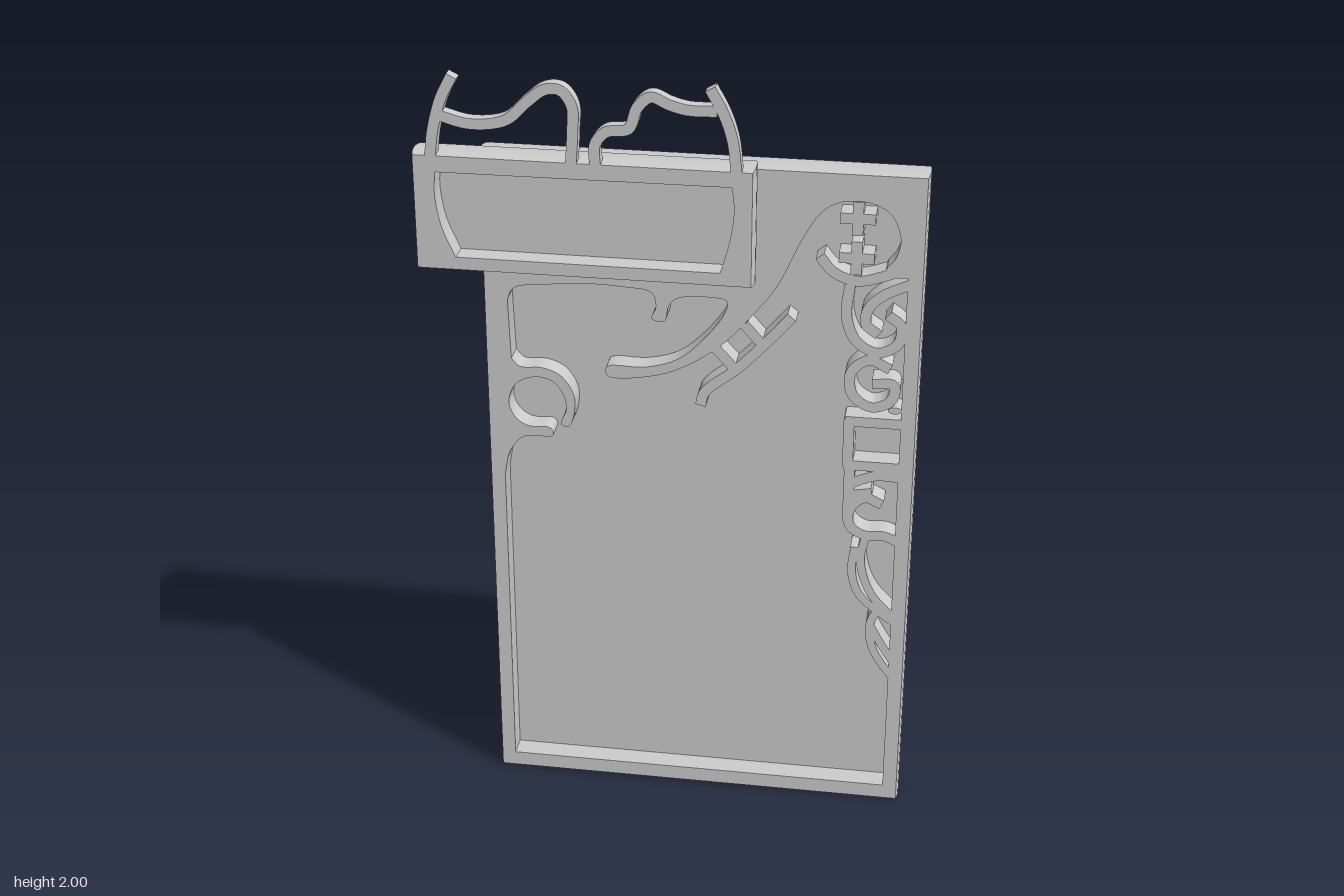
import * as THREE from 'three';
import { toCreasedNormals } from 'three/addons/utils/BufferGeometryUtils.js';

// Patterns are drawn on a sketch grid of 189 squares per unit, y downwards.
const G = 189;
const pt = ([x, y]) => new THREE.Vector2((x - 237.7) / G, (413 - y) / G);
const DEPTH = 0.085;

const material = new THREE.MeshStandardMaterial({ color: 0xcccccc });

function addMesh(group, name, geometry, z) {
  const mesh = new THREE.Mesh(toCreasedNormals(geometry, 0.55), material);
  mesh.name = name;
  mesh.position.z = z;
  group.add(mesh);
}

// Smooth run through sketch points
function smooth(points, n = points.length * 6) {
  const c = new THREE.CatmullRomCurve3(points.map(p => { const v = pt(p); return new THREE.Vector3(v.x, v.y, 0); }));
  return c.getPoints(n).map(v => new THREE.Vector2(v.x, v.y));
}

// Flat ribbon of constant width following a smooth path
function ribbon(points, width = 5) {
  const path = smooth(points);
  const h = width / G / 2, left = [], right = [];
  path.forEach((p, i) => {
    const a = path[Math.max(i - 1, 0)], b = path[Math.min(i + 1, path.length - 1)];
    const t = b.clone().sub(a).normalize();
    left.push(new THREE.Vector2(p.x - t.y * h, p.y + t.x * h));
    right.push(new THREE.Vector2(p.x + t.y * h, p.y - t.x * h));
  });
  return new THREE.Shape([...left, ...right.reverse()]);
}

const extrude = (shape, depth, steps = 1) =>
  new THREE.ExtrudeGeometry(shape, { depth, steps, bevelEnabled: false });

// Rectangular board with slightly bulging edges and a recess in its front
function board(group, name, [x0, x1, y0, y1], hole, recess, zBack) {
  const rect = () => new THREE.Shape([[x0, y0], [x1, y0], [x1, y1], [x0, y1]].map(p => new THREE.Vector2(...p)));
  const floor = DEPTH - recess;
  const bulge = (geo, offset) => {
    const p = geo.attributes.position;
    for (let i = 0; i < p.count; i++) {
      const inset = 0.005 * ((p.getZ(i) + offset) / DEPTH * 2 - 1) ** 2;
      const x = p.getX(i), y = p.getY(i), e = 1e-4;
      if (x < x0 + e) p.setX(i, x0 + inset);
      if (x > x1 - e) p.setX(i, x1 - inset);
      if (y < y0 + e) p.setY(i, y0 + inset);
      if (y > y1 - e) p.setY(i, y1 - inset);
    }
    geo.computeVertexNormals();
    return geo;
  };
  addMesh(group, name + 'Back', bulge(extrude(rect(), floor, 2), 0), zBack);
  const face = rect();
  face.holes.push(new THREE.Path(hole));
  addMesh(group, name + 'Frame', bulge(extrude(face, recess, 3), floor), zBack + floor);
}

export function createModel() {
  const model = new THREE.Group();
  model.name = 'ornamentalPanel';

  // Main panel: the recess has a swept, scrolled upper outline
  const panel = new THREE.Group();
  panel.name = 'panel';
  model.add(panel);
  const circleAndSweep = [
    [345, 127], [338, 127], [335, 124], [339, 118], [341, 109], [337, 98], [330, 93], [321, 91.5], [312, 93], [305, 98],
    [297, 111], [286, 135], [275, 150], [262, 165], [246, 177], [230, 184], [207, 186], [206.5, 181],
    [225, 180], [240, 175], [253, 163], [262, 150], [263, 144], [255, 142.5],
    [240, 144], [236, 148], [234, 156], [228, 155], [230, 149], [228, 142],
    [215, 140], [200, 139.5], [180, 141], [163, 144], [160, 150]];
  const leftScroll = [
    [161, 180], [165, 184], [176, 184], [185, 188], [191, 199], [188, 214], [184, 213],
    [187, 204], [182, 192], [173, 189], [163, 193], [159, 203], [162, 211], [168, 215],
    [179, 215.5], [180, 219.5], [166, 221], [159, 229], [156, 242]];
  const hole = [pt([156, 404.5]), pt([345, 404.5]), ...smooth(circleAndSweep, 150), ...smooth(leftScroll, 90)];
  const recess = 0.057, panelBack = -0.09;
  board(panel, 'panel', [-0.473, 0.609, 0, 1.772], hole, recess, panelBack);

  // Raised scrollwork standing on the recess floor
  const scrolls = {
    ladderBand: [[251, 198], [253, 191], [268, 178], [282, 163], [293, 150]],
    ladderRungLower: [[257, 167], [267, 178]],
    ladderRungUpper: [[271, 155], [279, 164]],
    circleCradle: [[305, 119], [311, 126], [322, 130], [334, 127], [347, 121]],
    upperCurlOuter: [[319, 132], [318, 148], [323, 160], [333, 165], [342, 160], [343, 151], [337, 146]],
    upperCurlInner: [[347, 130], [335, 136], [328, 143], [327, 151], [333, 156]],
    middleCurl: [[339, 173], [329, 169], [321, 176], [322, 187], [331, 193], [340, 189], [341, 181], [331, 181]],
    squareTop: [[319, 201], [347, 201]],
    squareSide: [[321, 200], [321, 225]],
    squareBottom: [[319, 224], [347, 224]],
    stepStem: [[322, 226], [322, 252]],
    stepArm: [[322, 234], [334, 229], [347, 229]],
    stepTab: [[322, 240], [333, 238]],
    lowerCurl: [[338, 244], [330, 241], [323, 247], [323, 256], [330, 261], [340, 261], [347, 264]],
    vineOuter: [[326, 268], [325, 282], [329, 294], [336, 301], [347, 309]],
    vineInner: [[331, 262], [329, 275], [334, 292], [347, 307]],
    vineTail: [[339, 301], [335, 310], [336, 322], [341, 332], [348, 341]],
    vineLeaf: [[335, 311], [340, 320], [348, 333]],
  };
  const zFloor = panelBack + DEPTH - recess;
  const raised = (name, shape) => addMesh(panel, name, extrude(shape, recess - 0.0005), zFloor);
  for (const [name, points] of Object.entries(scrolls)) raised(name, ribbon(points, name.startsWith('vine') ? 4 : 5));

  // Small bead and the two crosses inside the circle
  const beadAt = pt([342, 194]);
  raised('bead', new THREE.Shape().absellipse(beadAt.x, beadAt.y, 0.017, 0.009, 0, Math.PI * 2));
  for (const y of [100, 119]) {
    const quarter = [[2.5, 8], [2.5, 2.5], [8, 2.5]];
    const corners = [0, 1, 2, 3].flatMap(k => quarter.map(([a, b]) => {
      const [u, v] = [[a, b], [b, -a], [-a, -b], [-b, a]][k];
      return pt([321.5 + u, y + v]);
    }));
    raised('cross', new THREE.Shape(corners));
  }

  // Sign board in front of the upper left corner
  const sign = new THREE.Group();
  sign.name = 'sign';
  model.add(sign);
  const signHole = [
    ...smooth([[133, 82], [132.5, 93], [135, 108], [141, 122.5]]),
    ...smooth([[262, 122.5], [266, 108], [268, 93], [267, 81.5]])];
  board(sign, 'sign', [-0.612, 0.208, 1.5, 1.797], signHole, 0.055, 0.005);

  // Flat cresting along the top of the sign
  const cresting = {
    leftHorn: [[131, 76], [133, 62], [137, 48], [142.5, 37]],
    leftSwag: [[135, 55], [150, 58.5], [166, 56], [176, 47], [184, 41], [191, 41], [196, 48], [196, 60], [195, 76]],
    rightSwag: [[206, 76], [206, 65], [211, 59], [221, 57], [225, 47], [231, 42], [239, 45], [247, 47], [260, 47]],
    rightHorn: [[269, 76], [267, 60], [263, 48], [257, 37]],
  };
  for (const [name, points] of Object.entries(cresting)) addMesh(sign, name, extrude(ribbon(points), 0.03), 0.06);

  return model;
}
